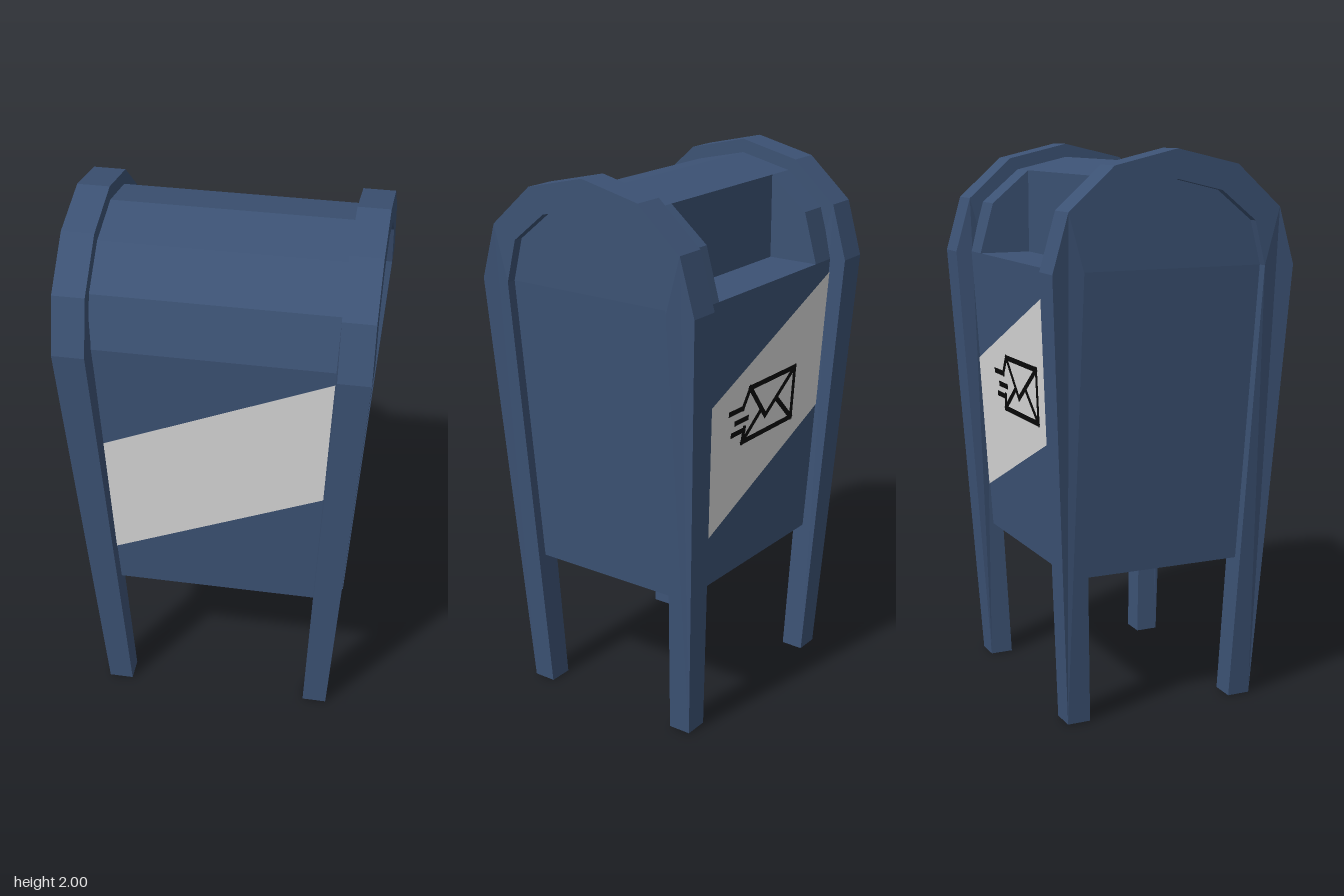
import * as THREE from 'three';
import { mergeGeometries } from 'three/addons/utils/BufferGeometryUtils.js';

const SHOULDER = 1.6; // height where the straight sides meet the arch
const BASE = 0.53;    // underside of the box

const blue = new THREE.MeshStandardMaterial({ color: 0x3c5274 });
blue.name = 'blue paint';
const pale = new THREE.MeshStandardMaterial({ color: 0xd8d8d8, side: THREE.DoubleSide });
pale.name = 'pale grey';
const black = new THREE.MeshStandardMaterial({ color: 0x080808, side: THREE.DoubleSide });
black.name = 'black';

// Taper rules: everything widens towards the shoulder
const taper = (low, high) => (y) => low + (high - low) * Math.min(y / SHOULDER, 1);
const frameOuterX = taper(0.433, 0.533);
const frameInnerX = taper(0.343, 0.42);
const panelX = (y) => frameOuterX(y) - 0.035;
const bodyZ = (y) => 0.34 + (0.055 * (y - BASE)) / (SHOULDER - BASE);

const shapeOf = (points) => new THREE.Shape(points.map(([x, y]) => new THREE.Vector2(x, y)));
const mirrored = (points) => points.map(([x, y]) => [-x, y]).reverse();

// Extrudes a side profile [-z, y] across x between two height-dependent limits
function across(name, profile, from, to) {
  const geo = new THREE.ExtrudeGeometry(shapeOf(profile), { depth: 1, bevelEnabled: false });
  const p = geo.attributes.position;
  for (let i = 0; i < p.count; i++) {
    const [s, y, t] = [p.getX(i), p.getY(i), p.getZ(i)];
    p.setXYZ(i, from(y) + (to(y) - from(y)) * t, y, -s);
  }
  geo.computeVertexNormals();
  const mesh = new THREE.Mesh(geo, blue);
  mesh.name = name;
  return mesh;
}

// Lays flat outlines on the sloping front of the box
function decal(name, outlines, material, lift) {
  const geo = mergeGeometries(outlines.map((o) => new THREE.ShapeGeometry(shapeOf(o))));
  const p = geo.attributes.position;
  for (let i = 0; i < p.count; i++) p.setZ(i, bodyZ(p.getY(i)) + lift);
  geo.computeVertexNormals();
  const mesh = new THREE.Mesh(geo, material);
  mesh.name = name;
  return mesh;
}

// Outline of a straight brush stroke
function stroke([x0, y0, x1, y1], width = 0.02) {
  const len = Math.hypot(x1 - x0, y1 - y0);
  const dx = ((x1 - x0) / len) * width / 2;
  const dy = ((y1 - y0) / len) * width / 2;
  return [
    [x0 - dx + dy, y0 - dy - dx], [x1 + dx + dy, y1 + dy - dx],
    [x1 + dx - dy, y1 + dy + dx], [x0 - dx - dy, y0 - dy + dx],
  ];
}

export function createModel() {
  const model = new THREE.Group();
  model.name = 'mailbox';

  // Arched side frames that run down into the four legs
  const outer = [[0.365, 0], [0.453, SHOULDER], [0.395, 1.8], [0.23, 1.947]];
  const inner = [[0.28, 0], [0.34, SHOULDER], [0.3, 1.755], [0.17, 1.86]];
  const frame = [
    ...outer, [0, 2], ...mirrored(outer),
    ...mirrored(inner).reverse(), [0, 1.9], ...inner.slice().reverse(),
  ];
  model.add(across('leftLegFrame', frame, frameInnerX, frameOuterX));
  model.add(across('rightLegFrame', frame, (y) => -frameOuterX(y), (y) => -frameInnerX(y)));

  // Box below the shoulder
  const zLow = bodyZ(BASE), zHigh = bodyZ(SHOULDER);
  model.add(across('lowerBox',
    [[-zLow, BASE], [zLow, BASE], [zHigh, SHOULDER], [-zHigh, SHOULDER]],
    (y) => -panelX(y), panelX));

  // Faceted roof: full profile at the ends, notched at the back in the middle
  const slot = 0.31;
  const roofHalf = [[zHigh, SHOULDER], [0.343, 1.785], [0.2, 1.905]];
  const roof = [...roofHalf, [0, 1.95], ...mirrored(roofHalf)];
  const notched = [[0.2, SHOULDER], [0.2, 1.905], [0, 1.95], ...mirrored(roofHalf)];
  model.add(across('leftRoof', roof, () => slot, panelX));
  model.add(across('rightRoof', roof, (y) => -panelX(y), () => -slot));
  model.add(across('slotRoof', notched, () => -slot, () => slot));

  // Slanted bands on the front and back
  const band = [[-0.377, 0.69], [0.392, 1.035], [0.418, 1.555], [-0.4, 1.19]];
  model.add(decal('frontBand', [band], pale, 0.003));
  const back = new THREE.Group();
  back.name = 'backMarkings';
  back.rotation.y = Math.PI;
  back.add(decal('backBand', [band], pale, 0.003));

  // Plain envelope sign with motion strokes
  const lines = [
    [-0.09, 1.235, 0.205, 1.235], [0.205, 1.235, 0.2, 1.04],
    [0.2, 1.04, -0.125, 1.04], [-0.125, 1.04, -0.115, 1.09],
    [-0.09, 1.235, -0.13, 1.17], [-0.09, 1.235, 0.02, 1.1],
    [0.02, 1.1, 0.205, 1.235], [-0.125, 1.04, -0.01, 1.13],
    [0.2, 1.04, 0.09, 1.145], [-0.21, 1.17, -0.13, 1.17],
    [-0.17, 1.125, -0.1, 1.125], [-0.19, 1.085, -0.115, 1.085],
  ];
  back.add(decal('envelopeSign', lines.map((l) => stroke(l)), black, 0.006));
  model.add(back);

  return model;
}
